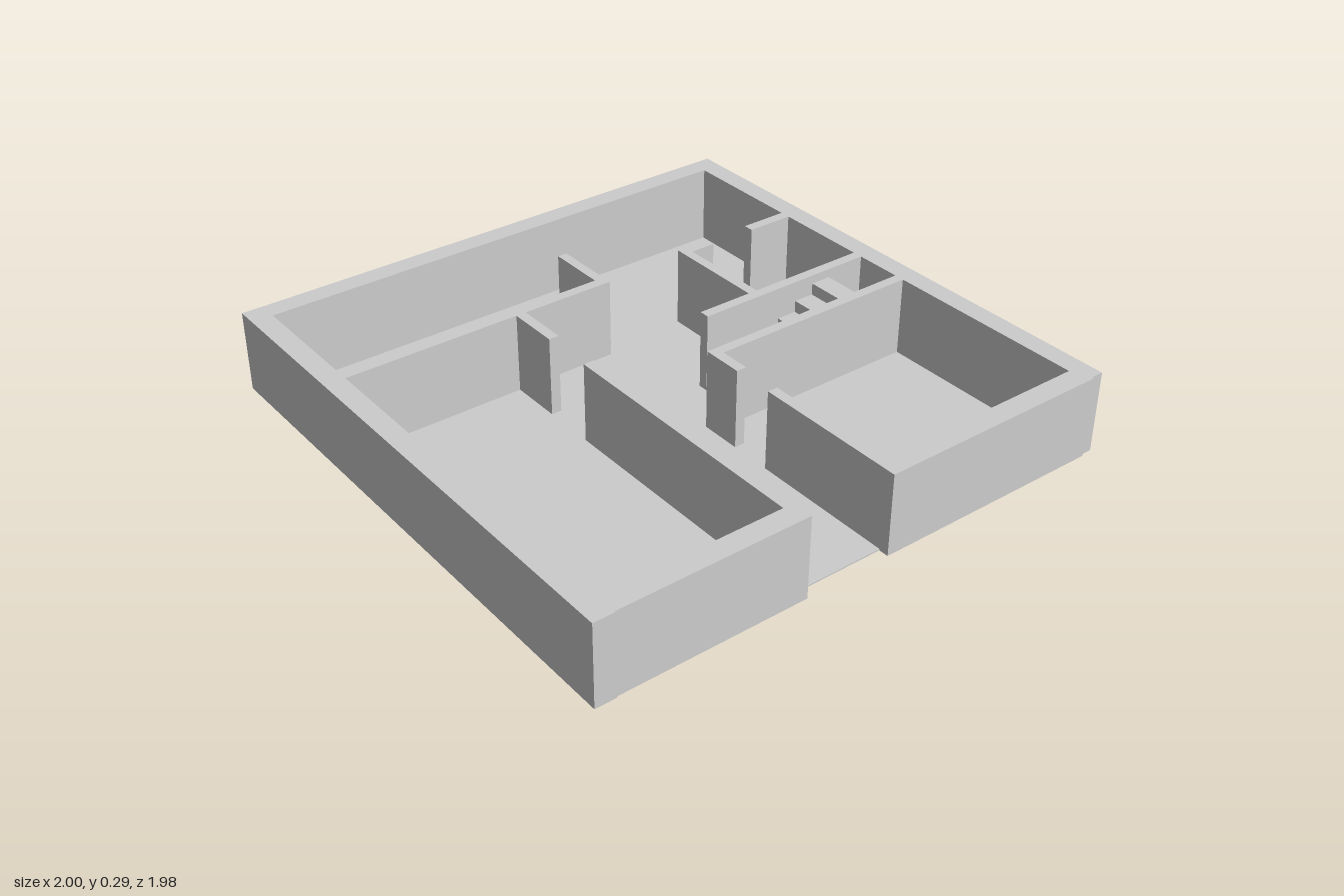
import * as THREE from 'three';

const WALL_HEIGHT = 0.295;
const FLOOR_TOP = 0.005;

export function createModel() {
  const model = new THREE.Group();
  model.name = 'floorPlan';
  const material = new THREE.MeshStandardMaterial({ color: 0xcccccc, flatShading: true });

  // Box spanning x0..x1 and z0..z1, from y0 up to y1
  function block(parent, name, [x0, x1, z0, z1], y0, y1) {
    const mesh = new THREE.Mesh(new THREE.BoxGeometry(x1 - x0, y1 - y0, z1 - z0), material);
    mesh.position.set((x0 + x1) / 2, (y0 + y1) / 2, (z0 + z1) / 2);
    mesh.name = name;
    parent.add(mesh);
  }

  function wallGroup(name, walls) {
    const group = new THREE.Group();
    group.name = name;
    for (const [wallName, ...span] of walls) block(group, wallName, span, 0, WALL_HEIGHT);
    model.add(group);
  }

  // Floor slab, stopping short of the outer face at the entrance
  block(model, 'floor', [-0.96, 0.957, -0.95, 0.95], 0, FLOOR_TOP);

  // Thick outer walls, with the entrance gap on the +x side
  wallGroup('outerWalls', [
    ['backWall', -1, 0.985, -0.99, -0.915],
    ['frontWall', -1, 1, 0.915, 0.99],
    ['rightWall', -1, -0.925, -0.915, 0.915],
    ['leftWallBack', 0.915, 0.992, -0.945, -0.085],
    ['leftWallFront', 0.92, 0.996, 0.235, 0.915],
  ]);

  // Thin partitions, with door gaps between them
  wallGroup('innerWalls', [
    ['smallRoomSideBack', -0.47, -0.432, -0.915, -0.74],
    ['smallRoomSideFront', -0.47, -0.432, -0.563, -0.433],
    ['smallRoomFront', -0.432, -0.08, -0.468, -0.433],
    ['stairWallRight', -0.08, -0.043, -0.915, -0.225],
    ['stairWallLeft', 0.13, 0.167, -0.915, -0.085],
    ['backRoomFrontShort', 0.167, 0.28, -0.122, -0.085],
    ['backRoomFrontLong', 0.43, 0.915, -0.122, -0.085],
    ['longRoomBack', -0.692, -0.47, -0.107, -0.072],
    ['longRoomSide', -0.47, -0.432, -0.107, 0.915],
    ['frontRoomBackShort', -0.432, -0.24, 0.238, 0.275],
    ['frontRoomBackLong', -0.047, 0.92, 0.238, 0.275],
  ]);

  // Staircase rising towards the back wall, each step solid to the floor
  const stairs = new THREE.Group();
  stairs.name = 'stairs';
  const steps = 6, startZ = -0.31, tread = 0.0758, rise = 0.043;
  for (let i = 0; i < steps; i++) {
    const z = startZ - i * tread;
    block(stairs, 'step', [-0.043, 0.13, z - tread, z], 0, FLOOR_TOP + (i + 1) * rise);
  }
  model.add(stairs);

  return model;
}
